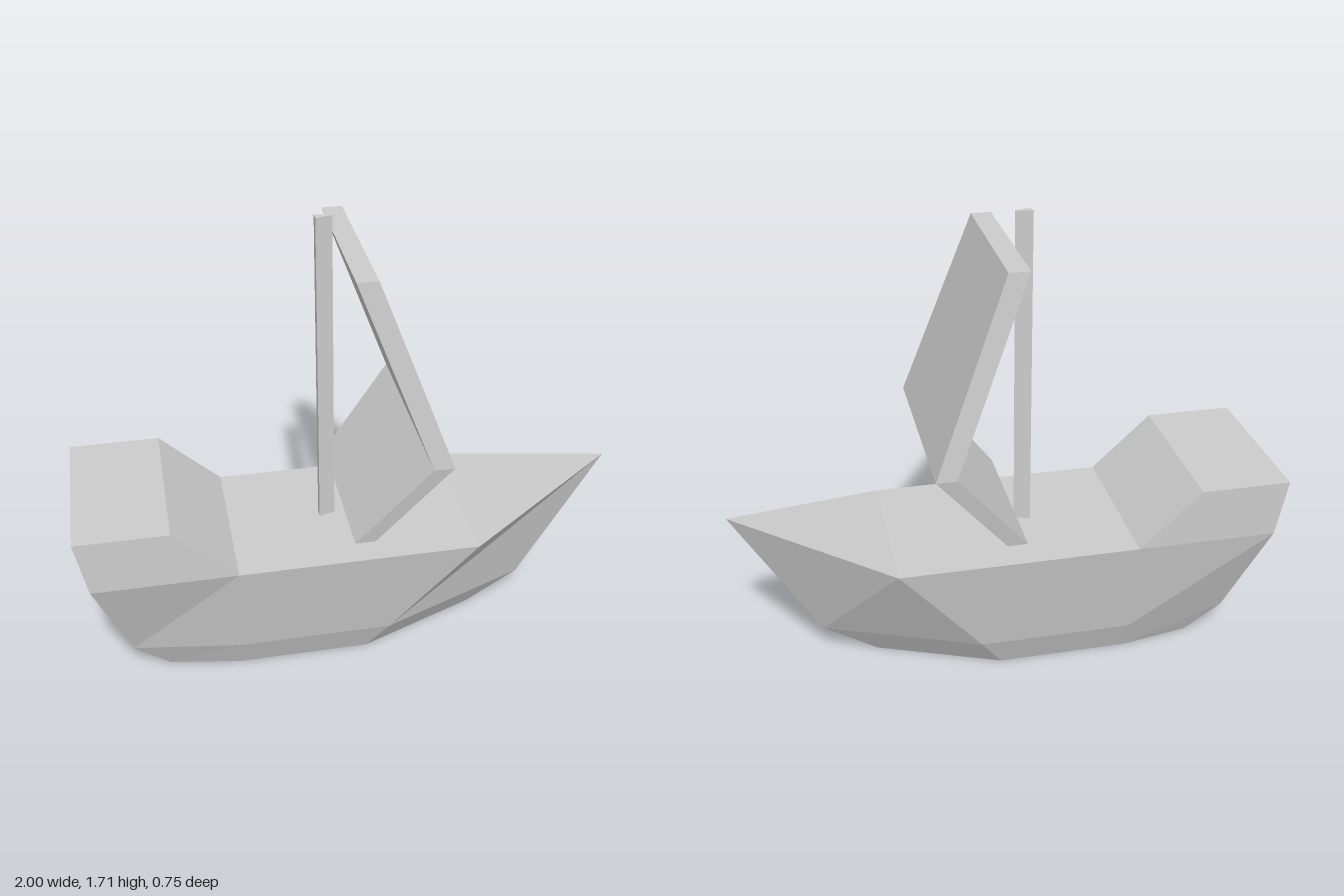
import * as THREE from 'three';

const material = new THREE.MeshStandardMaterial({ color: 0xcccccc, flatShading: true });

// Solid from stacked sections, bottom to top. Each section lists [x, y, halfWidth]
// from bow to stern and is mirrored across z = 0.
function loft(name, sections) {
  const rings = sections.map(half => [
    ...half.map(([x, y, w]) => new THREE.Vector3(x, y, w)),
    ...half.slice().reverse().map(([x, y, w]) => new THREE.Vector3(x, y, -w)),
  ]);
  const positions = [];
  const tri = (a, b, c) => {
    if (a.equals(b) || b.equals(c) || c.equals(a)) return;
    for (const p of [a, b, c]) positions.push(p.x, p.y, p.z);
  };
  const quad = (a, b, c, d) => { tri(a, b, c); tri(a, c, d); };

  const n = rings[0].length;
  // Side walls
  for (let r = 0; r < rings.length - 1; r++) {
    const lo = rings[r], hi = rings[r + 1];
    for (let i = 0; i < n; i++) {
      const j = (i + 1) % n;
      quad(lo[j], lo[i], hi[i], hi[j]);
    }
  }
  // Bottom and top, in strips across the width
  const bottom = rings[0], top = rings[rings.length - 1];
  for (let i = 0; i < n / 2 - 1; i++) {
    const k = n - 1 - i;
    quad(top[i], top[k], top[k - 1], top[i + 1]);
    quad(bottom[i], bottom[i + 1], bottom[k - 1], bottom[k]);
  }

  const geometry = new THREE.BufferGeometry();
  geometry.setAttribute('position', new THREE.Float32BufferAttribute(positions, 3));
  geometry.computeVertexNormals();
  const mesh = new THREE.Mesh(geometry, material);
  mesh.name = name;
  return mesh;
}

export function createModel() {
  const ship = new THREE.Group();
  ship.name = 'sailingShip';

  // Hull: keel, chine and deck levels, each from stem to transom
  ship.add(loft('hull', [
    [[0.49, 0, 0], [0.04, 0, 0.18], [-0.445, 0, 0.18], [-0.71, 0, 0.135]],
    [[0.69, 0.125, 0], [0.12, 0.125, 0.23], [-0.445, 0.125, 0.23], [-0.84, 0.125, 0.17]],
    [[1, 0.65, 0], [0.43, 0.52, 0.31], [-0.445, 0.52, 0.31], [-0.96, 0.52, 0.31]],
  ]));

  // Raised stern deck with a sloping front
  ship.add(loft('sternDeck', [
    [[-0.445, 0.52, 0.31], [-0.96, 0.52, 0.31]],
    [[-0.67, 0.73, 0.31], [-1, 0.73, 0.31]],
  ]));

  // Three-sided mast, edge facing the bow
  ship.add(loft('mast', [0.52, 1.71].map(y => [[-0.048, y, 0], [-0.107, y, 0.017]])));

  // Billowing sail, folded at its widest point
  ship.add(loft('sail', [[-0.03, 0.6, 0.31], [0.228, 0.92, 0.375], [-0.03, 1.61, 0.31]]
    .map(([x, y, w]) => [[x + 0.073, y, w], [x, y, w]])));

  return ship;
}
